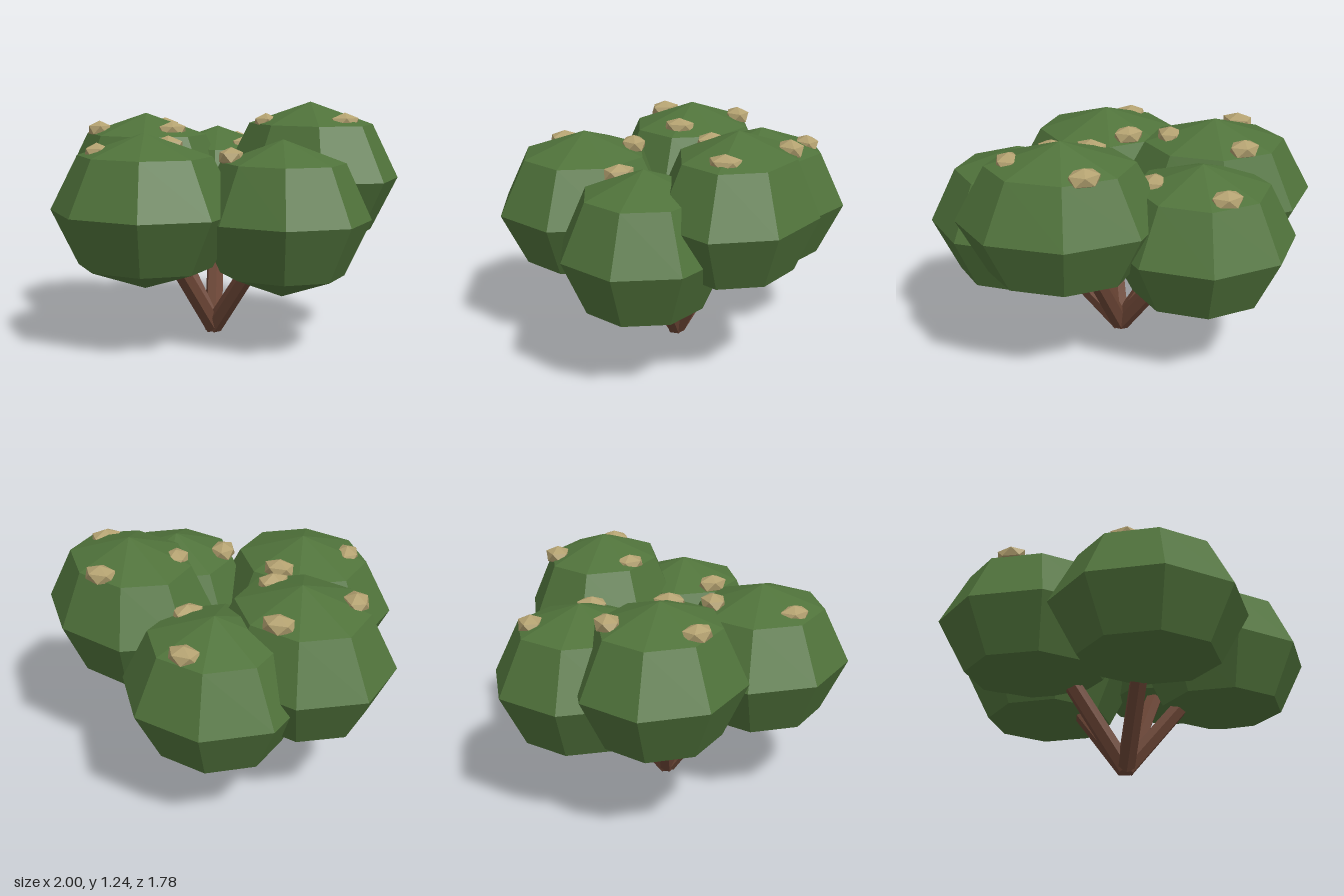
import * as THREE from 'three';

const foliageGreen = new THREE.MeshStandardMaterial({ color: 0x50733b });
const barkBrown = new THREE.MeshStandardMaterial({ color: 0x6b4535 });
const blossomTan = new THREE.MeshStandardMaterial({ color: 0xb3a170 });

// Unshared corners give every face its own flat normal
function faceted(geometry) {
  const g = geometry.index ? geometry.toNonIndexed() : geometry;
  g.computeVertexNormals();
  return g;
}

function addMesh(parent, name, geometry, material) {
  const mesh = new THREE.Mesh(faceted(geometry), material);
  mesh.name = name;
  parent.add(mesh);
  return mesh;
}

// Each clump: centre, radii, and the (x, y, z) of its blossoms
const clumps = [
  { name: 'front', c: [0.055, 0.715, 0.43], r: [0.515, 0.395, 0.46],
    blossoms: [[-0.05, 1.03, 0.19], [-0.1, 1.01, 0.61]] },
  { name: 'leftSide', c: [0.535, 0.682, -0.07], r: [0.46, 0.397, 0.425],
    blossoms: [[0.36, 0.99, 0.12]] },
  { name: 'rightSide', c: [-0.485, 0.78, 0.0], r: [0.515, 0.397, 0.44],
    blossoms: [[-0.6, 1.09, -0.23], [-0.25, 1.09, 0], [-0.64, 1.085, 0.21]] },
  { name: 'backRight', c: [-0.365, 0.7, -0.43], r: [0.48, 0.395, 0.46],
    blossoms: [[-0.45, 1.0, -0.66], [-0.13, 1.0, -0.43]] },
  { name: 'backLeft', c: [0.325, 0.855, -0.48], r: [0.515, 0.395, 0.41],
    blossoms: [[0.22, 1.15, -0.71], [0.57, 1.15, -0.48], [0.17, 1.14, -0.3]] },
];

const base = new THREE.Vector3(0.01, 0.035, -0.07);
const up = new THREE.Vector3(0, 1, 0);

export function createModel() {
  const tree = new THREE.Group();
  tree.name = 'tree';

  for (const { name, c, r, blossoms } of clumps) {
    const centre = new THREE.Vector3(...c);

    // Faceted leaf clump
    const leaf = new THREE.SphereGeometry(1, 8, 4).scale(...r);
    addMesh(tree, name + 'Foliage', leaf, foliageGreen).position.copy(centre);

    // Branch from the shared root into the clump
    const dir = centre.clone().sub(base);
    const length = dir.length() * 0.9;
    const branch = new THREE.CylinderGeometry(0.045, 0.05, length, 6).translate(0, length / 2, 0);
    const limb = addMesh(tree, name + 'Branch', branch, barkBrown);
    limb.position.copy(base);
    limb.quaternion.setFromUnitVectors(up, dir.normalize());

    // Flattened blossoms, wide across the clump's slope
    blossoms.forEach((p, i) => {
      const lump = new THREE.IcosahedronGeometry(1, 0)
        .rotateZ(Math.atan(0.618)) // stand on a point
        .rotateY(i)
        .scale(0.09, 0.05, 0.07);
      const blossom = addMesh(tree, name + 'Blossom' + (i + 1), lump, blossomTan);
      blossom.position.set(...p);
      blossom.rotation.y = Math.atan2(p[0] - c[0], p[2] - c[2]);
    });
  }
  return tree;
}
